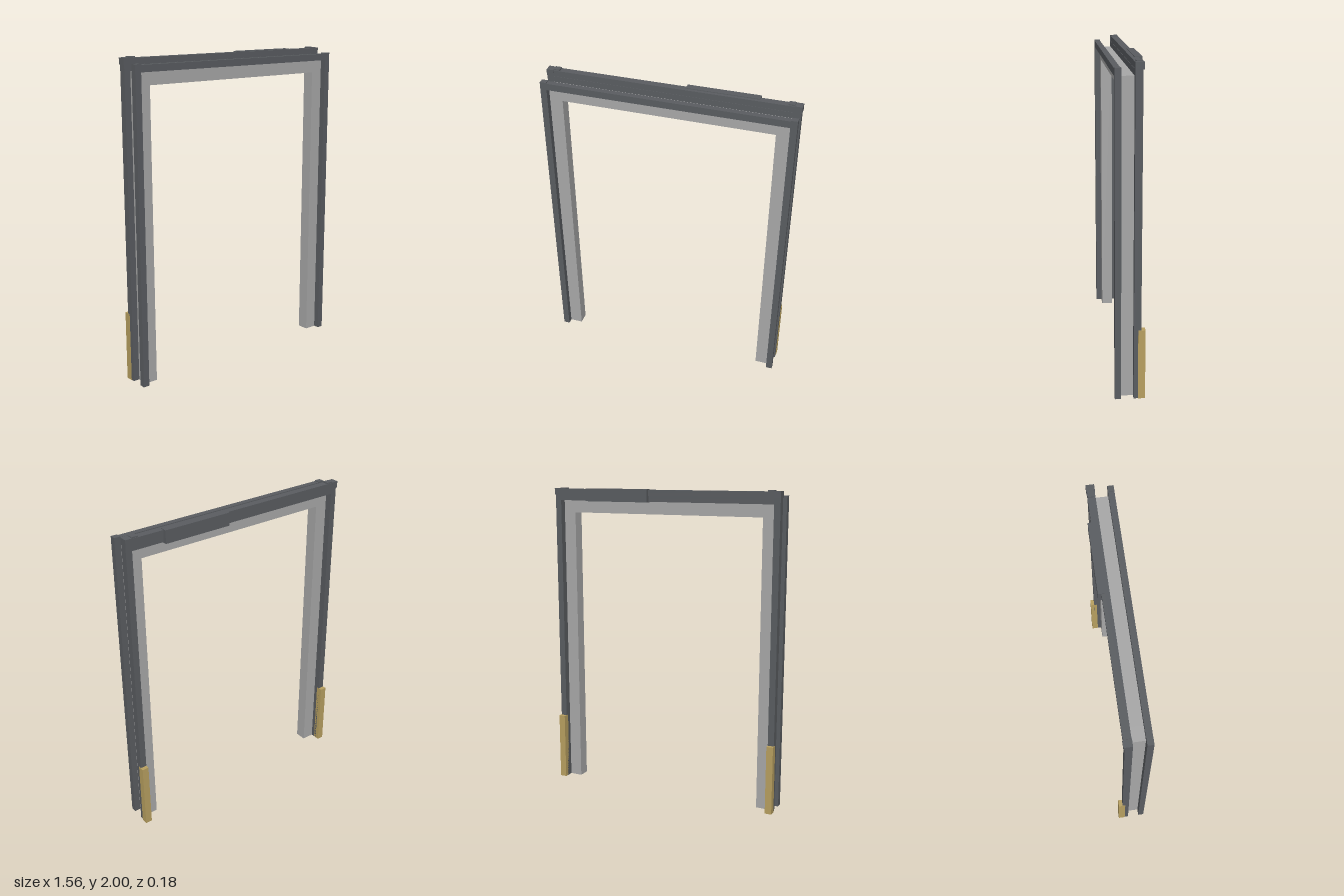
import * as THREE from 'three';

const lining = new THREE.MeshStandardMaterial({ color: 0xa8a8a8 });
const darkMetal = new THREE.MeshStandardMaterial({ color: 0x5a5d61 });
const brass = new THREE.MeshStandardMaterial({ color: 0xb8a060 });

// Box given by its extents along each axis
function block(parent, name, material, [x0, x1], [y0, y1], [z0, z1]) {
  const mesh = new THREE.Mesh(new THREE.BoxGeometry(x1 - x0, y1 - y0, z1 - z0), material);
  mesh.position.set((x0 + x1) / 2, (y0 + y1) / 2, (z0 + z1) / 2);
  mesh.name = name;
  parent.add(mesh);
}

export function createModel() {
  const model = new THREE.Group();
  model.name = 'doorFrame';

  const OUTER = 0.777, EDGE = 0.737, INNER = 0.655;
  const FRONT = [0.053, 0.09], CORE = [-0.022, 0.053], BACK = [-0.065, -0.022];

  // Uprights, mirrored left and right
  for (const [side, s] of [['left', 1], ['right', -1]]) {
    const span = (a, b) => (s > 0 ? [a, b] : [-b, -a]);
    const jamb = new THREE.Group();
    jamb.name = side + 'Jamb';
    model.add(jamb);
    block(jamb, 'jambLining', lining, span(INNER, EDGE), [0, 1.918], CORE);
    block(jamb, 'frontPost', darkMetal, span(EDGE, OUTER), [0, 1.965], FRONT);
    block(jamb, 'backPost', darkMetal, span(EDGE, OUTER), [0, 1.955], BACK);
    block(jamb, 'brassGuard', brass, span(EDGE, 0.78), [0, 0.44], [-0.09, -0.047]);
    // Corner fittings at the ends of the upper rail
    block(jamb, 'endCap', darkMetal, span(EDGE, 0.78), [1.955, 1.995], [-0.072, -0.022]);
    block(jamb, 'railBracket', darkMetal, span(0.697, EDGE), [1.955, 2], [-0.068, -0.03]);
  }

  // Header lining and the rails running across it
  block(model, 'headerLining', lining, [-INNER, INNER], [1.838, 1.918], CORE);
  block(model, 'frontRail', darkMetal, [-EDGE, EDGE], [1.918, 1.96], FRONT);
  block(model, 'backRail', darkMetal, [-EDGE, EDGE], [1.918, 1.955], BACK);
  block(model, 'upperRail', darkMetal, [-EDGE, EDGE], [1.955, 1.992], [-0.07, -0.024]);

  // Closer housing on the back of the head
  block(model, 'closerHousing', darkMetal, [0.09, 0.533], [1.915, 1.996], [-0.09, -0.045]);

  return model;
}
